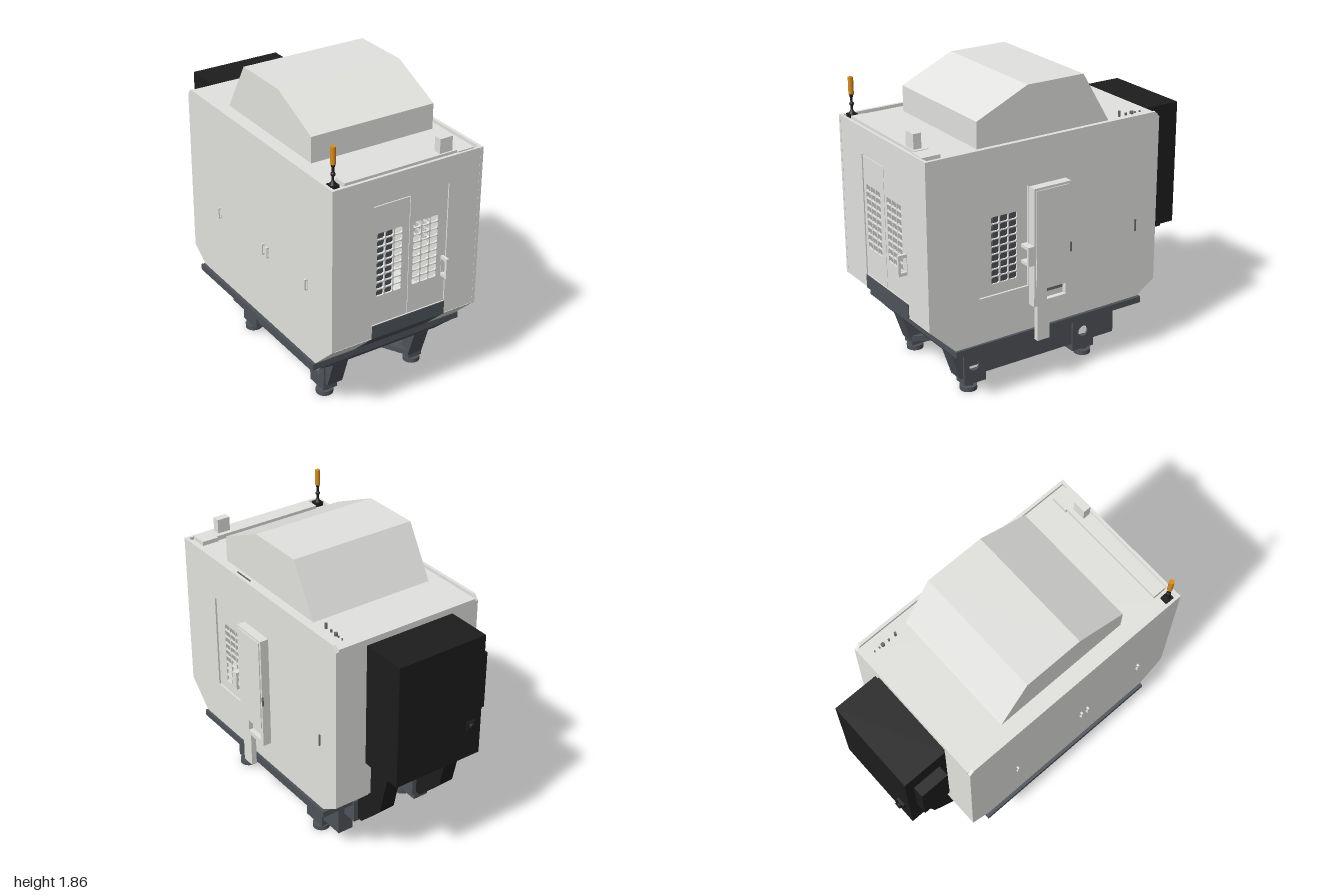
import * as THREE from 'three';

const mat = (name, color) => {
  const m = new THREE.MeshStandardMaterial({ color });
  m.name = name;
  return m;
};

export function createModel() {
  const light = mat('light grey paint', 0xe2e2df);
  const iron = mat('blue grey casting', 0x4f5359);
  const black = mat('black paint', 0x1d1d1d);
  const amber = mat('amber lamp', 0xd98c1c);
  const mid = mat('grey trim', 0x6a6b6b);
  const model = new THREE.Group();
  const CX = -0.025; // the casting is symmetrical about this x

  const add = (name, geo, m) => {
    const mesh = new THREE.Mesh(geo, m);
    mesh.name = name;
    model.add(mesh);
    return mesh;
  };
  // box given by its limits
  const box = (name, m, x0, x1, y0, y1, z0, z1) =>
    add(name, new THREE.BoxGeometry(x1 - x0, y1 - y0, z1 - z0)
      .translate((x0 + x1) / 2, (y0 + y1) / 2, (z0 + z1) / 2), m);
  // upright cylinder
  const cyl = (name, m, x, z, y0, y1, r0, r1 = r0, n = 24) =>
    add(name, new THREE.CylinderGeometry(r1, r0, y1 - y0, n).translate(x, (y0 + y1) / 2, z), m);
  const path = (pts, Type = THREE.Path) => new Type(pts.map(p => new THREE.Vector2(...p)));
  const rect = (a0, a1, b0, b1) => [[a0, b0], [a1, b0], [a1, b1], [a0, b1]];
  const extrude = (pts, depth, holes) => {
    const s = path(pts, THREE.Shape);
    s.holes = holes;
    return new THREE.ExtrudeGeometry(s, { depth, bevelEnabled: false, curveSegments: 24 });
  };
  // (z, y) outline along x, (x, y) outline along z, (x, -z) outline along y
  const alongX = (name, m, pts, x0, x1, holes = []) =>
    add(name, extrude(pts, x1 - x0, holes).rotateY(-Math.PI / 2).translate(x1, 0, 0), m);
  const alongZ = (name, m, pts, z0, z1, holes = []) =>
    add(name, extrude(pts, z1 - z0, holes).translate(0, 0, z0), m);
  const alongY = (name, m, pts, y0, y1) =>
    add(name, extrude(pts, y1 - y0, []).rotateX(-Math.PI / 2).translate(0, y0, 0), m);
  // grid of openings with cut corners for the window guards
  const lattice = (a0, a1, b0, b1, cols = 3, rows = 9) => {
    const w = (a1 - a0) / cols, h = (b1 - b0) / rows, g = 0.003, c = 0.007, out = [];
    for (let i = 0; i < cols; i++) for (let j = 0; j < rows; j++) {
      const l = a0 + i * w + g, r = a0 + (i + 1) * w - g, b = b0 + j * h + g, t = b0 + (j + 1) * h - g;
      out.push(path([[l + c, b], [r - c, b], [r, b + c], [r, t - c], [r - c, t], [l + c, t], [l, t - c], [l, b + c]]));
    }
    return out;
  };
  const circle = (a, b, r) => new THREE.Path().absarc(a, b, r, 0, Math.PI * 2, true);

  // Enclosure: folded shell with a sunken roof, two side walls, front wall
  const outer = [[0.95, 0.545], [0.95, 1.565], [-0.63, 1.565], [-0.66, 1.53], [-0.66, 0.47], [-0.53, 0.385], [0.78, 0.38]];
  const shell = [[0.93, 1.545], [-0.66, 1.545], ...outer.slice(4), [0.95, 0.545], [0.93, 0.556], [0.77, 0.402],
    [-0.525, 0.405], [-0.64, 0.48], [-0.64, 1.525], [0.93, 1.525]];
  alongX('enclosureShell', light, shell, -0.51, 0.455);
  alongX('enclosureSideRight', light, outer, -0.53, -0.51);
  alongX('enclosureSideLeft', light, outer, 0.455, 0.475, [path(rect(0.28, 0.615, 0.665, 1.292))]);
  alongZ('enclosureFront', light, rect(-0.51, 0.455, 0.547, 1.565), 0.93, 0.949,
    [path(rect(-0.262, 0.246, 0.63, 1.397))]);

  // Inset front doors and side door, with their handles
  alongZ('frontDoorRight', light, rect(-0.26, -0.017, 0.632, 1.388), 0.931, 0.943, lattice(-0.235, -0.06, 0.81, 1.22));
  alongZ('frontDoorLeft', light, rect(-0.013, 0.244, 0.632, 1.395), 0.931, 0.943, lattice(0.01, 0.185, 0.81, 1.22));
  box('frontDoorSeal', light, -0.03, 0, 0.632, 1.395, 0.925, 0.931);
  box('frontDoorTopSeal', light, -0.262, 0.246, 1.375, 1.4, 0.925, 0.931);
  alongX('sideDoor', light, rect(0.282, 0.613, 0.667, 1.29), 0.455, 0.465, lattice(0.35, 0.53, 0.73, 1.15));
  alongX('frontDoorHandle', light, rect(0.943, 1, 0.81, 0.94), 0.213, 0.231, [path(rect(0.946, 0.985, 0.83, 0.92))]);
  alongZ('sideDoorHandle', light, rect(0.465, 0.545, 0.82, 0.94), 0.285, 0.325, [path(rect(0.468, 0.53, 0.84, 0.92))]);
  for (const z of [-0.3, 0.22, 0.27, 0.69])
    alongZ('sidePanelHandle', light, rect(-0.547, -0.53, 0.83, 0.9), z - 0.006, z + 0.006, [path(rect(-0.54, -0.531, 0.84, 0.89))]);
  box('sideLatch', mid, 0.475, 0.482, 0.83, 0.905, -0.505, -0.495);

  // Dark chute below the front doors
  box('chuteFront', iron, -0.26, 0.245, 0.545, 0.63, 0.949, 0.954);
  alongX('chuteSlope', iron, [[0.954, 0.546], [0.78, 0.376], [0.775, 0.382], [0.948, 0.55]], -0.26, 0.245);

  // Machine inside
  box('innerColumn', iron, -0.21, 0.13, 0.405, 1.17, -0.6, 0.3);
  box('innerHead', black, -0.24, 0.13, 1.17, 1.36, -0.55, 0.33);
  box('innerTable', iron, -0.21, 0.13, 0.405, 0.8, 0.3, 0.43);
  box('innerFixture', iron, -0.2, 0.12, 0.405, 0.9, 0.43, 0.47);
  box('innerFixtureFront', iron, -0.2, 0.12, 0.405, 1, 0.47, 0.62);

  // Roof hood, front cable ledge and roof fittings
  alongX('roofHood', light, [[0.575, 1.54], [0.575, 1.705], [0.235, 1.86], [-0.15, 1.86], [-0.325, 1.565], [-0.34, 1.54]], -0.425, 0.4);
  box('roofLedge', light, -0.435, 0.31, 1.545, 1.575, 0.83, 0.92);
  box('roofLedgeEnd', light, 0.31, 0.42, 1.545, 1.572, 0.82, 0.935);
  box('roofLedgeBox', light, 0.2, 0.285, 1.575, 1.665, 0.86, 0.91);
  for (const x of [0.425, 0.442]) box('roofVent', mid, x, x + 0.008, 1.545, 1.55, 0.27, 0.41);
  for (const [z, r, y] of [[-0.585, 0.005, 1.555], [-0.55, 0.005, 1.555], [-0.525, 0.012, 1.562], [-0.48, 0.007, 1.56], [-0.432, 0.008, 1.58]])
    cyl('roofFitting', mid, 0.38, z, 1.545, y, r, r, 10);

  // Signal lamp
  const [lx, lz] = [-0.486, 0.885];
  box('lampFoot', black, lx - 0.026, lx + 0.026, 1.545, 1.57, lz - 0.026, lz + 0.026);
  cyl('lampBase', black, lx, lz, 1.57, 1.595, 0.02, 0.007);
  cyl('lampPole', black, lx, lz, 1.59, 1.69, 0.007);
  add('lampJoint', new THREE.SphereGeometry(0.014, 16, 12).translate(lx, 1.63, lz), black);
  cyl('lampCollar', black, lx, lz, 1.665, 1.69, 0.007, 0.014);
  cyl('lampLens', amber, lx, lz, 1.69, 1.793, 0.016);

  // Control panel on the side, with a tray and a conduit
  alongX('controlPanel', light, rect(0.022, 0.275, 0.545, 1.285), 0.475, 0.53, [path(rect(0.052, 0.185, 0.575, 0.645))]);
  box('controlTrayBack', light, 0.476, 0.5, 0.57, 0.65, 0.045, 0.19);
  alongX('controlTraySlope', mid, rect(0.055, 0.183, 0.612, 0.644), 0.5, 0.505);
  box('controlFace', light, 0.53, 0.536, 0.67, 1.27, 0.035, 0.262);
  box('controlConduit', light, 0.495, 0.53, 0.318, 0.545, 0.165, 0.25);
  box('controlHinge', mid, 0.525, 0.533, 0.84, 0.9, 0.012, 0.022);

  // Rear cabinet
  box('cabinet', black, -0.33, 0.275, 0.72, 1.515, -0.965, -0.672);
  box('cabinetMount', black, -0.31, 0.26, 0.74, 1.5, -0.675, -0.655);
  box('cabinetSideUnit', black, -0.4, -0.33, 0.98, 1.35, -0.91, -0.72);
  box('cabinetLatch', black, -0.28, -0.22, 0.92, 0.97, -0.98, -0.965);
  add('cabinetKnob', new THREE.CylinderGeometry(0.022, 0.022, 0.035, 20).rotateX(Math.PI / 2).translate(-0.25, 0.945, -0.982), black);

  // Ducts from the cabinet down to the base, with end blocks
  const duct = [[-0.685, 0.72], [-0.685, 0.5], [-0.565, 0.375], [-0.565, 0.235], [-0.6, 0.235], [-0.78, 0.42], [-0.845, 0.7], [-0.845, 0.72]];
  for (const x of [-0.25, 0.195]) {
    alongX('cableDuct', black, duct, x - 0.05, x + 0.05);
    box('ductFlange', black, x - 0.065, x + 0.065, 0.7, 0.72, -0.88, -0.69);
    box('ductBlock', iron, x - 0.08, x + 0.08, 0.22, 0.37, -0.565, -0.44);
  }

  // Base flange with a tapered underside
  box('baseFlange', iron, -0.55, 0.49, 0.34, 0.38, -0.55, 0.785);
  const taper = new THREE.BoxGeometry(1.02, 0.05, 1.29);
  const p = taper.attributes.position;
  for (let i = 0; i < p.count; i++) if (p.getY(i) < 0) p.setXYZ(i, p.getX(i) * 0.74, p.getY(i), p.getZ(i) * 0.94);
  taper.computeVertexNormals();
  add('baseTaper', taper.translate(-0.03, 0.315, 0.135), iron);

  // Casting: pierced side rails, leg pads, feet and angled front cheeks, mirrored
  const rail = [[0.72, 0.3], [0.72, 0.27], [0.66, 0.09], [-0.47, 0.09], [-0.47, 0.3]];
  const holes = () => [circle(0.57, 0.165, 0.035), circle(-0.23, 0.165, 0.035)];
  for (const s of [-1, 1]) {
    const span = (a, b) => [CX + s * a, CX + s * b].sort((u, v) => u - v);
    alongX('baseRail', iron, rail, ...span(0.24, 0.345), holes());
    for (const [z0, z1, h] of [[0.49, 0.64, 0.57], [-0.31, -0.15, -0.23]]) {
      alongX('legPad', iron, rect(z0, z1, 0.09, 0.275), ...span(0.345, 0.358), [circle(h, 0.165, 0.035)]);
      box('legSole', iron, ...span(0.265, 0.358), 0.045, 0.09, z0, z1);
      const fz = h > 0 ? 0.59 : -0.25, fx = CX + s * 0.32;
      cyl('footStem', iron, fx, fz, 0.03, 0.11, 0.014);
      cyl('footNut', iron, fx, fz, 0.028, 0.042, 0.03, 0.03, 6);
      cyl('foot', iron, fx, fz, 0, 0.028, 0.053);
    }
    // the cheeks leave the bore through the rails clear
    const cheek = [[CX + s * 0.24, -0.66], [CX + s * 0.24, -0.44], [CX + s * 0.12, -0.44]];
    alongY('frontCheekUpper', iron, cheek, 0.203, 0.3);
    alongY('frontCheekLower', iron, cheek, 0.09, 0.127);
  }
  box('baseDeck', iron, -0.27, 0.22, 0.26, 0.3, -0.47, 0.46);
  box('baseFrontWall', iron, -0.27, 0.22, 0.09, 0.27, 0.36, 0.45);
  box('baseCrossBlock', iron, -0.1, 0.22, 0.16, 0.27, 0, 0.2);
  return model;
}
